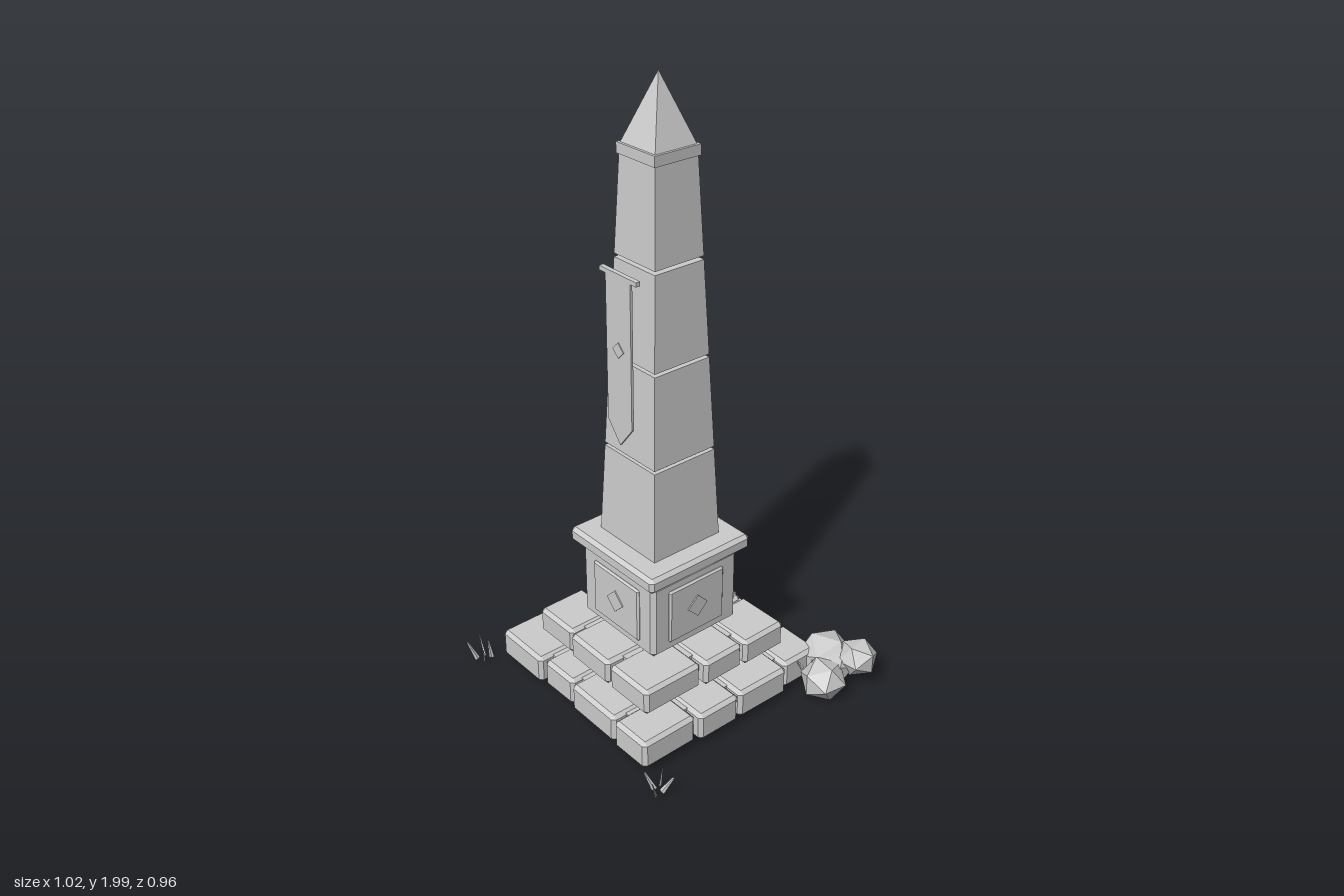
import * as THREE from 'three';
import { ConvexGeometry } from 'three/addons/geometries/ConvexGeometry.js';

const stone = new THREE.MeshStandardMaterial({ color: 0xcccccc, flatShading: true, side: THREE.DoubleSide });
stone.name = 'pale stone';

// Obelisk axis
const CX = -0.03, CZ = 0.025;

function add(parent, name, geometry, x = 0, y = 0, z = 0) {
  const mesh = new THREE.Mesh(geometry, stone);
  mesh.name = name;
  mesh.position.set(x, y, z);
  parent.add(mesh);
  return mesh;
}

// Box with all edges and corners cut by c
function chamferBox(w, h, d, c) {
  const points = [];
  for (const sx of [-1, 1]) for (const sy of [-1, 1]) for (const sz of [-1, 1])
    for (let k = 0; k < 3; k++) {
      const inset = [c, c, c];
      inset[k] = 0;
      points.push(new THREE.Vector3(
        sx * (w / 2 - inset[0]), sy * (h / 2 - inset[1]), sz * (d / 2 - inset[2])));
    }
  return new ConvexGeometry(points);
}

// Square block tapering from half-width a to half-width b
function taper(a, b, h) {
  const g = new THREE.CylinderGeometry(b * Math.SQRT2, a * Math.SQRT2, h, 4);
  return g.rotateY(Math.PI / 4);
}

// One ring of paving stones: each entry is x0, x1, z0, z1
function course(parent, name, y0, y1, stones) {
  const group = new THREE.Group();
  group.name = name;
  parent.add(group);
  stones.forEach(([x0, x1, z0, z1], i) => {
    const m = add(group, 'block', chamferBox(x1 - x0, y1 - y0, z1 - z0, 0.012),
      (x0 + x1) / 2, (y0 + y1) / 2, (z0 + z1) / 2);
    m.rotation.y = ((i * 7) % 5 - 2) * 0.006;
  });
}

// Leaning pointed blades
function tuft(parent, x, y, z, turn) {
  const group = new THREE.Group();
  group.name = 'grassTuft';
  group.position.set(x, y, z);
  group.rotation.y = turn;
  parent.add(group);
  for (let i = 0; i < 4; i++) {
    const g = new THREE.CylinderGeometry(0.003, 0.009, 0.075, 4);
    g.scale(1, 1, 0.45).translate(0, 0.0375, 0);
    const blade = add(group, 'blade', g, (i - 1.5) * 0.014, 0.014, (i % 2) * 0.02 - 0.01);
    blade.rotation.set((i % 2 ? 1 : -1) * 0.2, i * 0.8, i < 2 ? 0.35 : -0.2);
  }
}

export function createModel() {
  const model = new THREE.Group();
  model.name = 'obelisk';

  // Stepped base
  add(model, 'lowerCore', new THREE.BoxGeometry(0.62, 0.085, 0.62), CX, 0.0775, CZ);
  course(model, 'lowerStep', 0.03, 0.128, [
    [-0.4, -0.28, -0.35, -0.165], [-0.272, -0.057, -0.347, -0.16],
    [-0.05, 0.167, -0.335, -0.16], [0.172, 0.33, -0.335, -0.19],
    [-0.402, -0.22, -0.16, 0.025], [-0.38, -0.22, 0.032, 0.192],
    [-0.4, -0.192, 0.2, 0.388], [-0.185, -0.04, 0.2, 0.376],
    [-0.032, 0.18, 0.2, 0.385], [0.186, 0.332, 0.187, 0.39],
    [0.16, 0.345, -0.185, 0.015], [0.16, 0.345, 0.022, 0.18],
  ]);
  add(model, 'upperCore', new THREE.BoxGeometry(0.44, 0.1, 0.44), CX, 0.168, CZ);
  course(model, 'upperStep', 0.135, 0.225, [
    [-0.302, -0.135, -0.26, -0.067], [-0.125, 0.064, -0.245, -0.06],
    [0.071, 0.258, -0.25, -0.08], [-0.294, -0.12, -0.058, 0.117],
    [-0.31, -0.14, 0.125, 0.298], [-0.135, 0.057, 0.125, 0.308],
    [0.066, 0.245, 0.09, 0.31], [0.08, 0.255, -0.073, 0.082],
  ]);

  // Pedestal with a raised panel and diamond on each side
  add(model, 'pedestal', chamferBox(0.345, 0.262, 0.345, 0.014), CX, 0.362, CZ);
  for (let i = 0; i < 4; i++) {
    const side = new THREE.Group();
    side.name = 'pedestalPanel';
    side.position.set(CX, 0.362, CZ);
    side.rotation.y = i * Math.PI / 2;
    add(side, 'panel', chamferBox(0.22, 0.19, 0.02, 0.006), 0, 0, 0.17);
    const diamond = add(side, 'diamond', new THREE.BoxGeometry(0.055, 0.055, 0.008), 0, 0, 0.18);
    diamond.rotation.z = Math.PI / 4;
    model.add(side);
  }
  add(model, 'pedestalCap', chamferBox(0.4, 0.052, 0.4, 0.012), CX, 0.522, CZ);

  // Tapering shaft in four drums with open joints
  const joints = [[0.55, 0.848], [0.858, 1.157], [1.167, 1.463], [1.474, 1.77]];
  const half = (y) => 0.13 - (y - 0.55) * 0.0435;
  for (const [y0, y1] of joints)
    add(model, 'shaftBlock', taper(half(y0), half(y1), y1 - y0), CX, (y0 + y1) / 2, CZ);
  add(model, 'shaftCollar', new THREE.BoxGeometry(0.165, 0.032, 0.165), CX, 1.784, CZ);
  const tip = new THREE.ConeGeometry(0.074 * Math.SQRT2, 0.2, 4).rotateY(Math.PI / 4);
  add(model, 'pyramidTip', tip, CX, 1.9, CZ);

  // Hanging banner with rod and small diamond
  const cloth = new THREE.Shape([[-0.055, 1.445], [-0.055, 0.98], [0, 0.91], [0.055, 0.98], [0.055, 1.445]]
    .map(([x, y]) => new THREE.Vector2(x, y)));
  add(model, 'banner', new THREE.ExtrudeGeometry(cloth, { depth: 0.008, bevelEnabled: false }), CX, 0, 0.167);
  add(model, 'bannerRod', new THREE.BoxGeometry(0.163, 0.014, 0.015), CX, 1.449, 0.168);
  const emblem = add(model, 'bannerDiamond', new THREE.BoxGeometry(0.035, 0.035, 0.006), CX, 1.22, 0.175);
  emblem.rotation.z = Math.PI / 4;

  // Boulders at the back corner
  const rocks = [[0.34, 0.09, -0.365, 0.096], [0.437, 0.112, -0.41, 0.069], [0.412, 0.075, -0.282, 0.077],
    [0.39, 0.08, -0.35, 0.065]];
  rocks.forEach(([x, y, z, r], i) => {
    const rock = add(model, 'boulder', new THREE.IcosahedronGeometry(r, 0).scale(1, i ? 0.9 : 0.78, 1), x, y, z);
    rock.rotation.y = i * 1.3 + 0.4;
  });

  // Grass around the corners
  tuft(model, -0.465, 0, -0.32, 0.4);
  tuft(model, -0.44, 0, 0.44, 1.5);
  tuft(model, 0.407, 0, 0.4, 2.6);
  tuft(model, 0.355, 0.04, -0.285, 0.2);

  return model;
}
